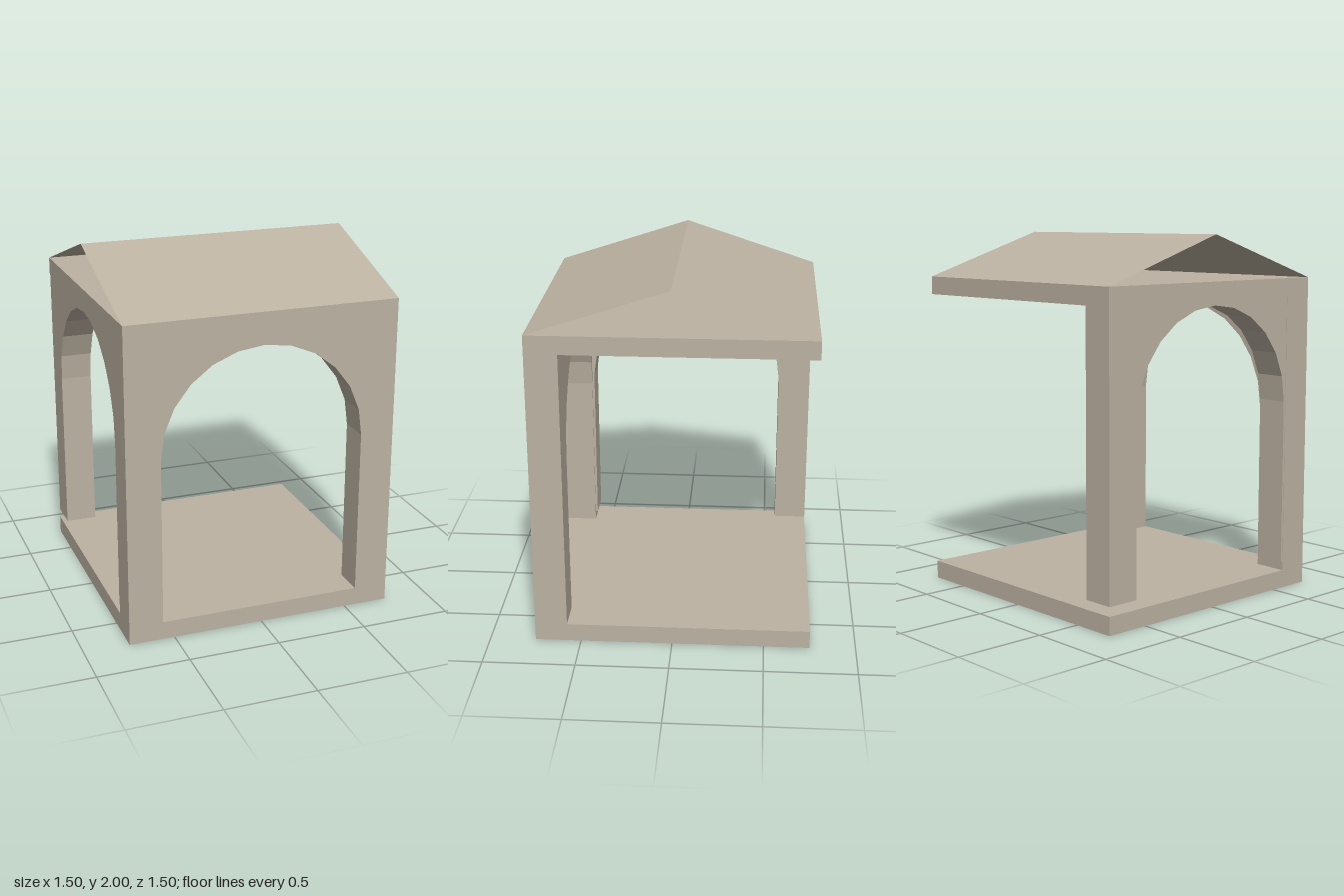
import * as THREE from 'three';

const SIZE = 1.5, HALF = 0.75, THICK = 0.175, RADIUS = 0.5625;

// Wall with a round-arched opening that runs down to its lower edge
function archWall(width, bottom, spring, top) {
  const h = width / 2;
  const shape = new THREE.Shape();
  shape.moveTo(-h, bottom);
  shape.lineTo(-RADIUS, bottom);
  for (let i = 0; i <= 12; i++) {
    const a = Math.PI * (1 - i / 12);
    shape.lineTo(RADIUS * Math.cos(a), spring + RADIUS * Math.sin(a));
  }
  shape.lineTo(RADIUS, bottom);
  shape.lineTo(h, bottom);
  shape.lineTo(h, top);
  shape.lineTo(-h, top);
  shape.closePath();
  return new THREE.ExtrudeGeometry(shape, { depth: THICK, bevelEnabled: false });
}

export function createModel() {
  const group = new THREE.Group();
  const stone = new THREE.MeshStandardMaterial({ color: 0xbcb2a2, side: THREE.DoubleSide });
  stone.name = 'stone';

  const add = (name, geometry, x = 0, y = 0, z = 0) => {
    const mesh = new THREE.Mesh(geometry, stone);
    mesh.name = name;
    mesh.position.set(x, y, z);
    group.add(mesh);
    return mesh;
  };

  // Floor and ceiling slabs
  add('floorSlab', new THREE.BoxGeometry(SIZE, 0.1, SIZE), 0, 0.05, 0);
  add('ceilingSlab', new THREE.BoxGeometry(SIZE, 0.1, SIZE), 0, 1.705, 0);

  // Front arch stands on the floor; side arch hangs just above it
  add('frontArch', archWall(SIZE, 0.1, 1.0175, 1.655), 0, 0, HALF - THICK);
  add('sideArch', archWall(SIZE - 0.004, 0.15, 1.0675, 1.655).rotateY(-Math.PI / 2),
    -HALF + THICK + 0.002, 0, 0);

  // Two thin roof slopes, open at the gable ends
  const rise = 0.245, pitch = Math.atan2(rise, HALF);
  for (const side of [1, -1]) {
    const slope = new THREE.PlaneGeometry(SIZE, Math.hypot(rise, HALF));
    slope.rotateX(-Math.PI / 2 + side * pitch);
    add(side > 0 ? 'frontRoofSlope' : 'backRoofSlope', slope, 0, 1.755 + rise / 2, side * HALF / 2);
  }

  return group;
}
